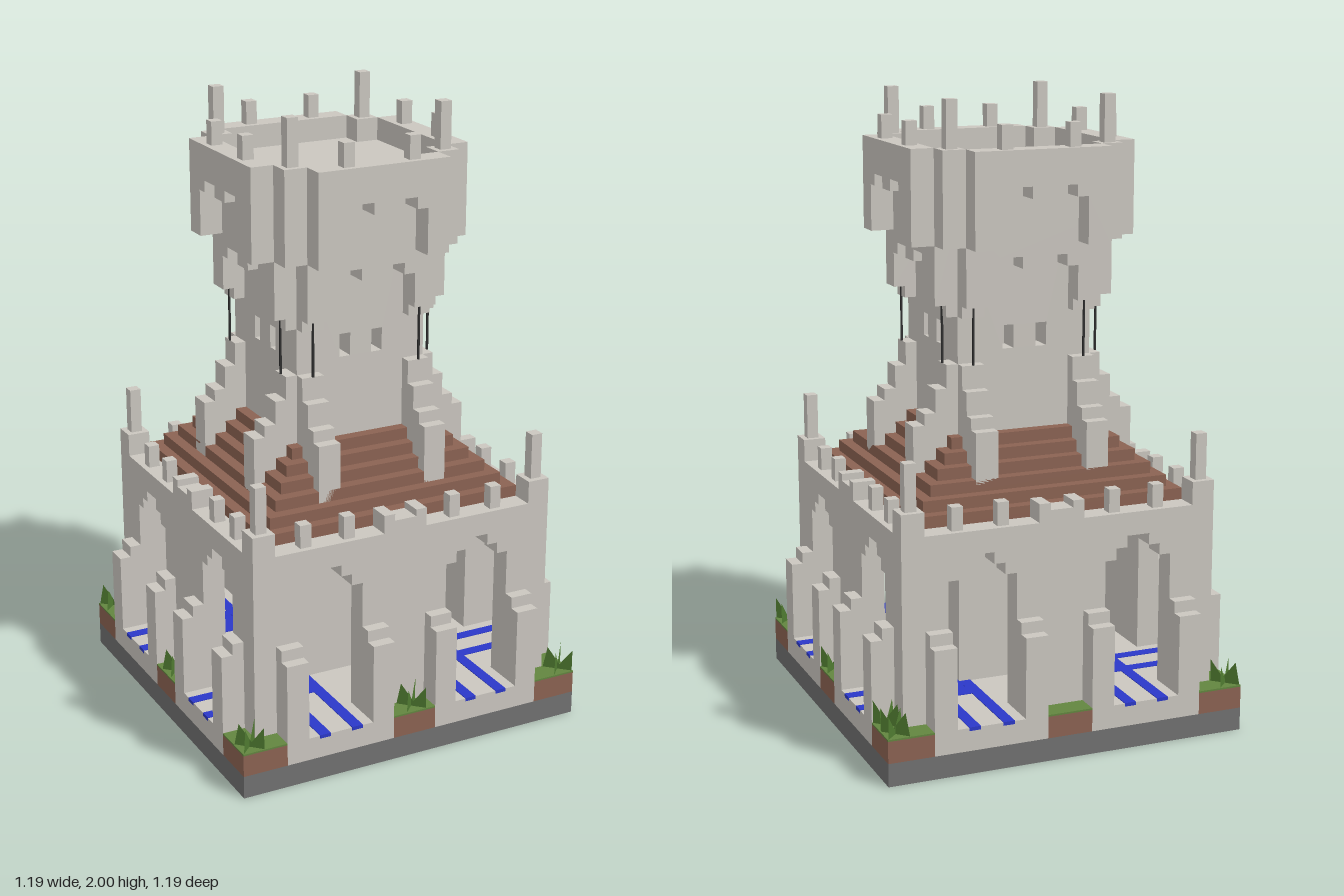
import * as THREE from 'three';

const mat = (name, color) => {
  const m = new THREE.MeshStandardMaterial({ color });
  m.name = name;
  return m;
};

export function createModel() {
  const stone = mat('stone', 0xcac6bf);
  const brown = mat('brown', 0x8b6252);
  const grass = mat('grass', 0x62853f);
  const water = mat('water', 0x2b38c8);
  const slab = mat('slab', 0x707070);
  const iron = mat('iron', 0x2c2c2c);
  const leaf = mat('leaf', 0x4f7a30);
  leaf.side = THREE.DoubleSide;

  // Everything is laid out on a block grid, 54 blocks tall
  const grid = new THREE.Group();
  grid.name = 'tower';
  grid.scale.setScalar(1 / 27);

  const add = (parent, name, geo, m) => {
    const mesh = new THREE.Mesh(geo, m);
    mesh.name = name;
    parent.add(mesh);
    return mesh;
  };
  // Box given by its limits on each axis
  const box = (parent, name, m, x0, x1, y0, y1, z0, z1) => {
    const mesh = add(parent, name, new THREE.BoxGeometry(x1 - x0, y1 - y0, z1 - z0), m);
    mesh.position.set((x0 + x1) / 2, (y0 + y1) / 2, (z0 + z1) / 2);
  };
  const poly = (pts, C = THREE.Shape) => new C(pts.map(p => new THREE.Vector2(p[0], p[1])));
  // Upright panel of an outline with holes, from z0 to z1
  const panel = (parent, name, pts, holes, z0, z1) => {
    const s = poly(pts);
    s.holes = holes.map(h => poly(h, THREE.Path));
    const geo = new THREE.ExtrudeGeometry(s, { depth: z1 - z0, bevelEnabled: false });
    add(parent, name, geo, stone).position.z = z0;
  };
  const rect = (x0, x1, y0, y1) => [[x0, y0], [x1, y0], [x1, y1], [x0, y1]];
  const arch = c => [[c - 3, 4], [c + 3, 4], [c + 3, 16], [c + 2, 16], [c + 2, 17], [c + 1, 17],
    [c + 1, 18], [c - 1, 18], [c - 1, 17], [c - 2, 17], [c - 2, 16], [c - 3, 16]];
  // Overhanging panel with a two-lobed notch cut in its lower edge
  const corbel = (y, top) => [[-6, y], [-4, y], [-4, y + 4], [-3, y + 4], [-3, y + 5], [-1, y + 5],
    [-1, y + 4], [1, y + 4], [1, y + 5], [3, y + 5], [3, y + 4], [4, y + 4], [4, y], [6, y],
    [6, top], [-6, top]];

  // Crossed pointed leaves
  const plant = (x, z, w) => {
    const g = new THREE.Group();
    g.name = 'plant';
    for (const a of [Math.PI / 4, -Math.PI / 4]) {
      const s = poly([[-w, 0], [w, 0], [w, 2], [0.2, 0.5], [-w * 0.7, 2]]);
      add(g, 'leaves', new THREE.ShapeGeometry(s), leaf).rotation.y = a;
    }
    g.position.set(x, 4, z);
    grid.add(g);
  };

  // Ground slab and stone floor
  box(grid, 'groundSlab', slab, -16, 16, 0, 2, -16, 16);
  box(grid, 'floor', stone, -14, 14, 2, 4, -14, 14);

  // Stepped roof
  for (let i = 0; i < 6; i++) {
    const h = 12 - i;
    box(grid, 'roofStep', brown, -h, h, 20 + i, 21 + i, -h, h);
  }

  // Tower top floor inside the parapet
  box(grid, 'topFloor', stone, -8, 8, 43, 48, -6, 6);
  box(grid, 'topFloor', stone, -6, 6, 43, 48, -8, 8);

  for (let k = 0; k < 4; k++) {
    const side = new THREE.Group();
    side.name = 'side' + (k + 1);
    side.rotation.y = k * Math.PI / 2;
    grid.add(side);

    // Lower wall with two arches
    panel(side, 'arcadeWall', rect(-14, 12, 2, 20), [arch(-7), arch(7)], 12, 14);

    // Corner block and finial
    box(side, 'cornerBlock', stone, 12, 14, 20, 22, 12, 14);
    box(side, 'cornerFinial', stone, 12.5, 13.5, 22, 26, 12.5, 13.5);

    // Soil and grass beds
    box(side, 'soil', brown, -2, 2, 2, 3.9, 14, 16);
    box(side, 'grassBed', grass, -2, 2, 3.9, 4.05, 14, 16);
    for (const [x0, x1, z0, z1] of [[12, 16, 14, 16], [14, 16, 12, 14]]) {
      box(side, 'cornerSoil', brown, x0, x1, 2, 3.9, z0, z1);
      box(side, 'cornerGrass', grass, x0, x1, 3.9, 4.05, z0, z1);
    }

    // Middle battlement
    box(side, 'middleMerlon', stone, -1, 1, 20, 21, 12, 14);

    for (const s of [-1, 1]) {
      const sbox = (name, m, x0, x1, ...r) =>
        box(side, name, m, Math.min(s * x0, s * x1), Math.max(s * x0, s * x1), ...r);

      // Doorstep, piers and water channels
      sbox('doorstep', stone, 2, 12, 2, 4, 14, 16);
      for (const x of [2, 10]) {
        sbox('pierFront', stone, x, x + 2, 4, 11, 15, 16);
        sbox('pierBack', stone, x, x + 2, 4, 12, 14, 15);
      }
      for (const x of [5, 8]) {
        sbox('waterChannel', water, x, x + 1, 3.75, 4.06, 6, 16.03);
      }
      sbox('pool', water, 6, 9, 3.9, 4.05, 6, 9);

      // Battlements
      sbox('middleMerlon', stone, 1, 2, 20, 21.6, 12, 14);
      for (const x of [5, 9]) sbox('merlon', stone, x - 0.5, x + 0.5, 20, 22, 12.5, 13.5);

      // Stepped buttress against the tower
      [32, 30, 28, 27].forEach((top, i) =>
        sbox('buttress', stone, 4, 6, 21, top, 6 + i, 7 + i));

      // Thin rod between buttress and corbel
      sbox('rod', iron, 4.92, 5.08, 32, 37, 6.92, 7.08);

      // Corbel foot and parapet finial
      sbox('corbelFoot', stone, 4, 6, 36, 37, 6, 7);
      sbox('parapetFinial', stone, 2.5, 3.5, 50, 52, 8.5, 9.5);
    }

    // Tower shaft wall with window slits
    panel(side, 'shaftWall', rect(-6, 4, 4, 44),
      [rect(-2, -1, 33, 35), rect(1, 2, 33, 35)], 4, 6);

    // Two overhanging tiers
    panel(side, 'lowerCorbel', corbel(37, 44).map(([x, y]) => [x, y > 37 && y < 44 ? y - 1 : y]), [], 6, 8);
    panel(side, 'upperCorbel', corbel(42, 50), [], 8, 10);

    // Tower corner block and tall finial
    box(side, 'towerCorner', stone, 6, 8, 42, 50, 6, 8);
    box(side, 'towerFinial', stone, 6.5, 7.5, 50, 54, 6.5, 7.5);
  }

  // Plants in the beds
  for (const [x, z] of [[-15, 15], [15, 15], [0.2, 15], [15, -15], [15, -13], [15, 1], [-15, -15], [-15, 0]]) {
    plant(x, z, 1.3);
  }

  const model = new THREE.Group();
  model.name = 'castleTower';
  model.add(grid);
  return model;
}
